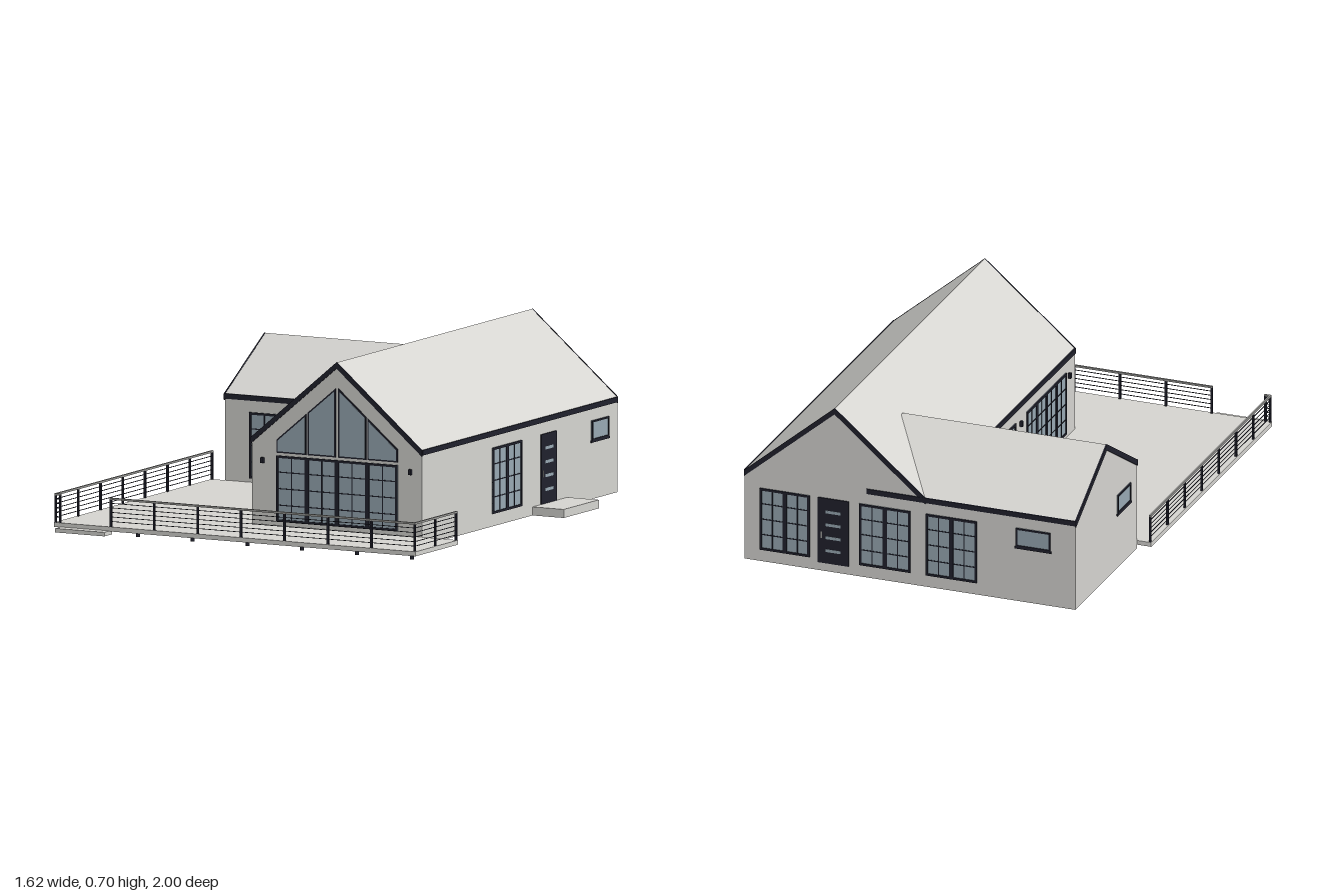
import * as THREE from 'three';

const mat = (name, color) => {
  const m = new THREE.MeshStandardMaterial({ color });
  m.name = name;
  return m;
};

export function createModel() {
  const wallMat = mat('pale grey', 0xd6d5d1);
  const trimMat = mat('dark trim', 0x20212d);
  const glassMat = mat('blue grey glass', 0x98a9b3);
  const railMat = mat('rail grey', 0x9b9b98);
  const house = new THREE.Group();
  house.name = 'house';

  const add = (parent, name, geo, material, x = 0, y = 0, z = 0) => {
    const m = new THREE.Mesh(geo, material);
    m.name = name;
    m.position.set(x, y, z);
    parent.add(m);
    return m;
  };
  // box given by its minimum and maximum corners
  const block = (parent, name, material, x0, x1, y0, y1, z0, z1) =>
    add(parent, name, new THREE.BoxGeometry(x1 - x0, y1 - y0, z1 - z0), material,
      (x0 + x1) / 2, (y0 + y1) / 2, (z0 + z1) / 2);
  const plate = (points, depth) => new THREE.ExtrudeGeometry(
    new THREE.Shape(points.map(([x, y]) => new THREE.Vector2(x, y))), { depth, bevelEnabled: false });

  // gabled bodies, walls and roof in one prism
  const EAVE = 0.378;
  const body = (hw, ridge, depth) =>
    plate([[-hw, 0], [hw, 0], [hw, EAVE], [0, ridge], [-hw, EAVE]], depth);
  const rake = (hw, ridge, t = 0.025) => plate([[-hw, EAVE - t], [0, ridge - t], [hw, EAVE - t],
    [hw, EAVE], [0, ridge], [-hw, EAVE]], 0.006);
  const X0 = -0.115, X1 = 0.645, XM = 0.265, BACK = -0.994, FRONT = 0.608;
  const WX = -0.75, WF = -0.336, WM = (BACK + WF) / 2, WH = (WF - BACK) / 2;
  add(house, 'mainBody', body(0.38, 0.7, FRONT - BACK), wallMat, XM, 0, BACK);
  add(house, 'wingBody', body(WH, 0.575, 0.86), wallMat, WX, 0, WM).rotation.y = Math.PI / 2;

  // dark edges of the roofs
  add(house, 'frontRake', rake(0.382, 0.701), trimMat, XM, 0, FRONT - 0.002);
  add(house, 'backRake', rake(0.382, 0.701), trimMat, XM, 0, BACK - 0.004);
  add(house, 'wingRake', rake(WH + 0.002, 0.576), trimMat, WX - 0.004, 0, WM).rotation.y = Math.PI / 2;
  const gutter = (name, x0, x1, z0, z1) => block(house, name, trimMat, x0, x1, 0.358, 0.379, z0, z1);
  gutter('rightGutter', X1 - 0.002, X1 + 0.004, BACK, FRONT);
  gutter('leftGutter', X0 - 0.005, X0 + 0.002, WF, FRONT);
  gutter('wingFrontGutter', WX, X0, WF - 0.002, WF + 0.005);
  gutter('wingBackGutter', WX, 0.13, BACK - 0.005, BACK + 0.002);

  // wall fittings are built facing +z and turned onto their wall
  const walls = {
    front: (u) => [u, FRONT, 0],
    wingFront: (u) => [u, WF, 0],
    back: (u) => [u, BACK, Math.PI],
    right: (u) => [X1, u, Math.PI / 2],
    left: (u) => [X0, u, -Math.PI / 2],
    wingLeft: (u) => [WX, u, -Math.PI / 2],
  };
  const fitting = (name, wall, u) => {
    const g = new THREE.Group();
    const [x, z, turn] = walls[wall](u);
    g.name = name;
    g.position.set(x, 0, z);
    g.rotation.y = turn;
    house.add(g);
    return g;
  };

  // glazed leaf with frame and glazing bars
  const leaf = (g, x0, x1, y0, y1, cols, rows, f = 0.009) => {
    block(g, 'glass', glassMat, x0, x1, y0, y1, -0.002, 0.002);
    const bar = (a, b, c, d, t) => block(g, 'frame', trimMat, a, b, c, d, -0.002, t);
    bar(x0, x0 + f, y0, y1, 0.006);
    bar(x1 - f, x1, y0, y1, 0.006);
    bar(x0, x1, y0, y0 + f, 0.006);
    bar(x0, x1, y1 - f, y1, 0.006);
    for (let i = 1; i < cols; i++) {
      const x = x0 + (x1 - x0) * i / cols;
      bar(x - 0.002, x + 0.002, y0, y1, 0.004);
    }
    for (let i = 1; i < rows; i++) {
      const y = y0 + (y1 - y0) * i / rows;
      bar(x0, x1, y - 0.002, y + 0.002, 0.004);
    }
  };
  const glazing = (name, wall, a, b, leaves, y0 = 0.05, y1 = 0.312) => {
    const g = fitting(name, wall, (a + b) / 2);
    const w = Math.abs(b - a), s = w / leaves;
    for (let i = 0; i < leaves; i++) leaf(g, -w / 2 + i * s, -w / 2 + (i + 1) * s, y0, y1, 2, 4);
  };
  const smallWindow = (name, wall, a, b) => {
    const g = fitting(name, wall, (a + b) / 2), h = Math.abs(b - a) / 2;
    leaf(g, -h, h, 0.232, 0.312, 1, 1, 0.007);
    block(g, 'sill', trimMat, -h - 0.005, h + 0.005, 0.225, 0.233, -0.002, 0.006);
  };
  const door = (name, wall, a, b) => {
    const g = fitting(name, wall, (a + b) / 2), h = Math.abs(b - a) / 2;
    block(g, 'doorPanel', trimMat, -h, h, 0.035, 0.312, -0.002, 0.005);
    for (const y of [0.255, 0.2, 0.145, 0.09])
      block(g, 'doorSlit', glassMat, -0.032, 0.032, y - 0.006, y + 0.006, 0, 0.006);
    block(g, 'doorHandle', railMat, -h + 0.012, -h + 0.018, 0.14, 0.168, 0, 0.006);
  };
  const lamp = (wall, u) =>
    block(fitting('wallLamp', wall, u), 'lamp', trimMat, -0.006, 0.006, 0.278, 0.3, 0, 0.012);

  glazing('frontGlazing', 'front', -0.004, 0.538, 4);
  glazing('wingFrontWindow', 'wingFront', -0.64, -0.505, 1);
  glazing('wingFrontDoor', 'wingFront', -0.505, -0.372, 1, 0.033);
  glazing('rightWindow', 'right', 0.035, -0.205, 2);
  glazing('leftGlazing', 'left', 0.09, 0.51, 4);
  glazing('leftDoor', 'left', -0.26, -0.03, 2);
  glazing('backWindowA', 'back', 0.58, 0.37, 2);
  glazing('backWindowB', 'back', 0.16, -0.055, 2);
  glazing('backWindowC', 'back', -0.12, -0.335, 2);
  door('rightDoor', 'right', -0.365, -0.49);
  door('backDoor', 'back', 0.335, 0.205);
  smallWindow('rightSmallWindow', 'right', -0.78, -0.92);
  smallWindow('backSmallWindow', 'back', -0.5, -0.645);
  smallWindow('wingSmallWindow', 'wingLeft', -0.55, -0.41);
  for (const u of [-0.065, 0.595]) lamp('front', u);
  for (const u of [0.025, 0.54]) lamp('left', u);
  lamp('wingFront', -0.14);

  // sloped panes in the front gable, mirrored about the ridge
  const gable = fitting('gableWindow', 'front', 0.267);
  const SLOPE = 0.84;
  for (const side of [-1, 1]) for (const [a, b] of [[0.006, 0.131], [0.137, 0.27]]) {
    const top = (x) => 0.602 - SLOPE * x;
    const pane = (e) => {
      const p = [[a + e, 0.323 + e], [b - e, 0.323 + e],
        [b - e, top(b - e) - e * 1.3], [a + e, top(a + e) - e * 1.3]];
      return p.map(([x, y]) => [x * side, y]);
    };
    add(gable, 'gableFrame', plate(pane(0), 0.004), trimMat);
    add(gable, 'gableGlass', plate(pane(0.006), 0.005), glassMat);
  }

  // deck wrapping the front and left of the house, with steps and feet
  const DX0 = -0.81, DX1 = 0.806, DZ = 0.957;
  const deck = plate([[DX0, -DZ], [DX1, -DZ], [DX1, -FRONT], [X0, -FRONT], [X0, -WF], [DX0, -WF]], 0.018);
  deck.rotateX(-Math.PI / 2);
  add(house, 'deck', deck, wallMat, 0, 0.016, 0);
  block(house, 'frontStep', wallMat, -0.78, -0.56, 0.002, 0.018, 0.94, 1);
  block(house, 'doorStep', wallMat, X1, 0.785, 0, 0.034, -0.585, -0.298);
  const foot = (x, z) =>
    add(house, 'deckFoot', new THREE.CylinderGeometry(0.008, 0.008, 0.016, 10), trimMat, x, 0.008, z);
  for (let i = 0; i < 7; i++) foot(0.78 - i * 0.245, 0.938);
  for (let i = 1; i < 6; i++) foot(-0.785, 0.938 - i * 0.24);

  // railings with posts, wires and a top rail
  const railing = (name, x0, z0, x1, z1, bays) => {
    const g = new THREE.Group();
    g.name = name;
    house.add(g);
    for (let i = 0; i <= bays; i++) {
      const x = x0 + (x1 - x0) * i / bays, z = z0 + (z1 - z0) * i / bays;
      block(g, 'post', trimMat, x - 0.004, x + 0.004, 0.033, 0.143, z - 0.004, z + 0.004);
    }
    const line = (n, m, y, t) => block(g, n, m, Math.min(x0, x1) - t, Math.max(x0, x1) + t,
      y - t, y + t, Math.min(z0, z1) - t, Math.max(z0, z1) + t);
    for (const y of [0.055, 0.073, 0.091, 0.109, 0.127]) line('wire', trimMat, y, 0.0012);
    line('topRail', railMat, 0.145, 0.004);
  };
  const RZ = 0.951;
  railing('frontRailing', -0.558, RZ, 0.8, RZ, 7);
  railing('rightRailing', 0.8, RZ, 0.8, FRONT + 0.006, 2);
  railing('leftRailing', -0.804, RZ, -0.804, WF + 0.006, 7);
  railing('leftRailingReturn', -0.804, RZ, -0.784, RZ, 1);

  return house;
}
